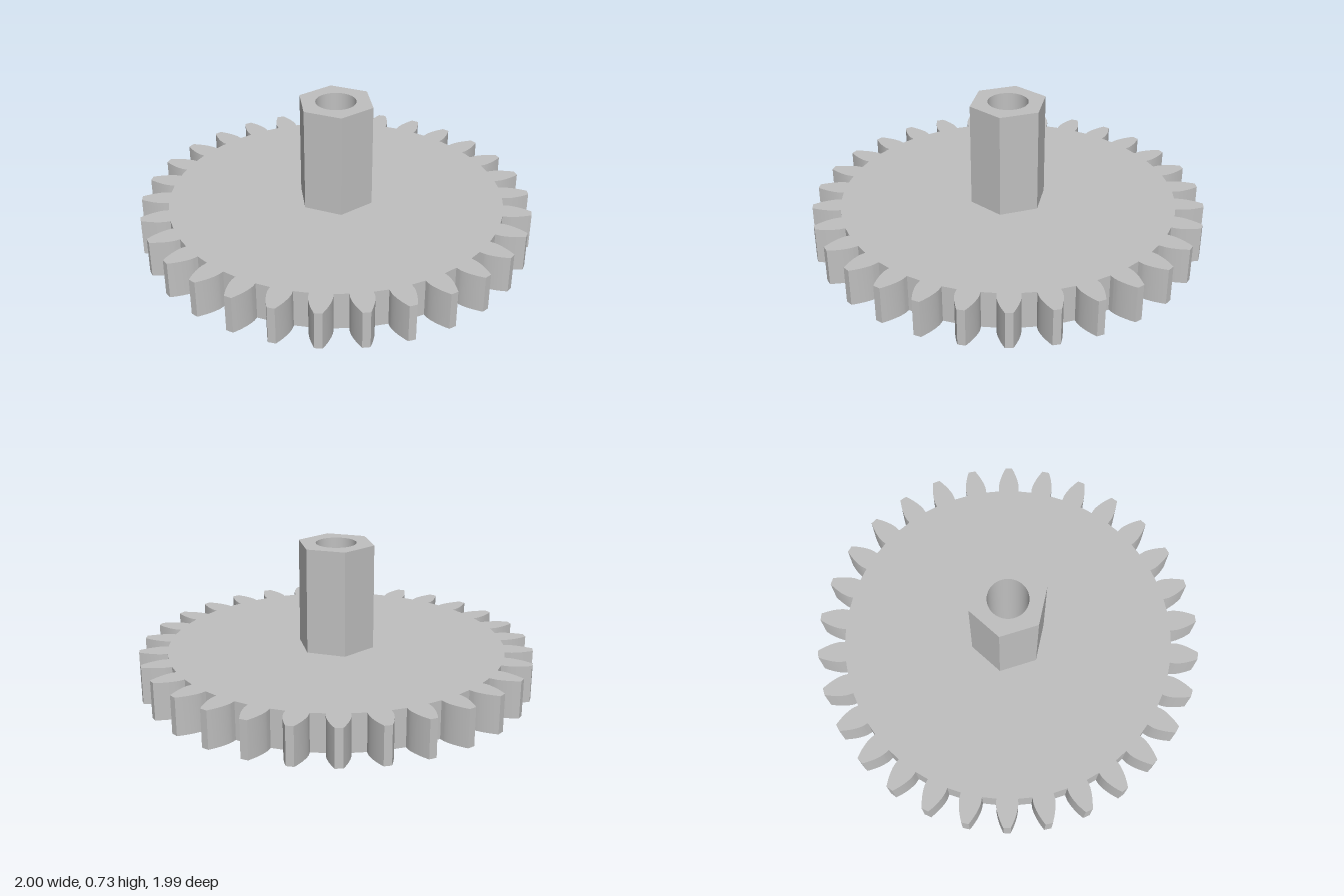
import * as THREE from 'three';
import { toCreasedNormals } from 'three/addons/utils/BufferGeometryUtils.js';

const TEETH = 30;
const TIP_R = 1, BASE_R = 0.881, ROOT_R = 0.858;
const BASE_HALF = THREE.MathUtils.degToRad(3.6); // half tooth angle at the base circle
const BORE_R = 0.102;
const GEAR_H = 0.19, TOP_Y = 0.725;

const polar = (r, a) => new THREE.Vector2(r * Math.cos(a), r * Math.sin(a));

// Half tooth angle at radius r, following an involute flank
function halfAngle(r) {
  const p = Math.acos(Math.min(1, BASE_R / r));
  return BASE_HALF - (Math.tan(p) - p);
}

// Outline of the toothed wheel
function gearOutline() {
  const pts = [];
  const steps = 8;
  for (let i = 0; i < TEETH; i++) {
    const a = (i / TEETH) * Math.PI * 2;
    const radii = [ROOT_R];
    for (let s = 0; s <= steps; s++) {
      radii.push(BASE_R + (TIP_R - BASE_R) * (s / steps) ** 1.5);
    }
    for (const r of radii) pts.push(polar(r, a - halfAngle(r)));
    for (const r of radii.reverse()) pts.push(polar(r, a + halfAngle(r)));
  }
  return pts;
}

// Outline of the hexagonal hub, corners on the x axis
function hexOutline() {
  return Array.from({ length: 6 }, (_, i) => polar(0.197, (i * Math.PI) / 3));
}

// Upright prism with the round bore cut through it
function boredPrism(name, outline, y0, y1, material) {
  const shape = new THREE.Shape(outline);
  const bore = new THREE.Path();
  bore.absarc(0, 0, BORE_R, 0, Math.PI * 2, true);
  shape.holes.push(bore);
  let geo = new THREE.ExtrudeGeometry(shape, { depth: y1 - y0, bevelEnabled: false, curveSegments: 24 });
  geo.rotateX(-Math.PI / 2);
  geo.translate(0, y0, 0);
  geo = toCreasedNormals(geo, 0.4);
  const mesh = new THREE.Mesh(geo, material);
  mesh.name = name;
  return mesh;
}

export function createModel() {
  const grey = new THREE.MeshStandardMaterial({ color: 0xc0c0c0 });
  grey.name = 'light grey';

  const gear = new THREE.Group();
  gear.name = 'spurGear';
  gear.add(boredPrism('toothedWheel', gearOutline(), 0, GEAR_H, grey));
  gear.add(boredPrism('hexHub', hexOutline(), GEAR_H, TOP_Y, grey));
  return gear;
}
